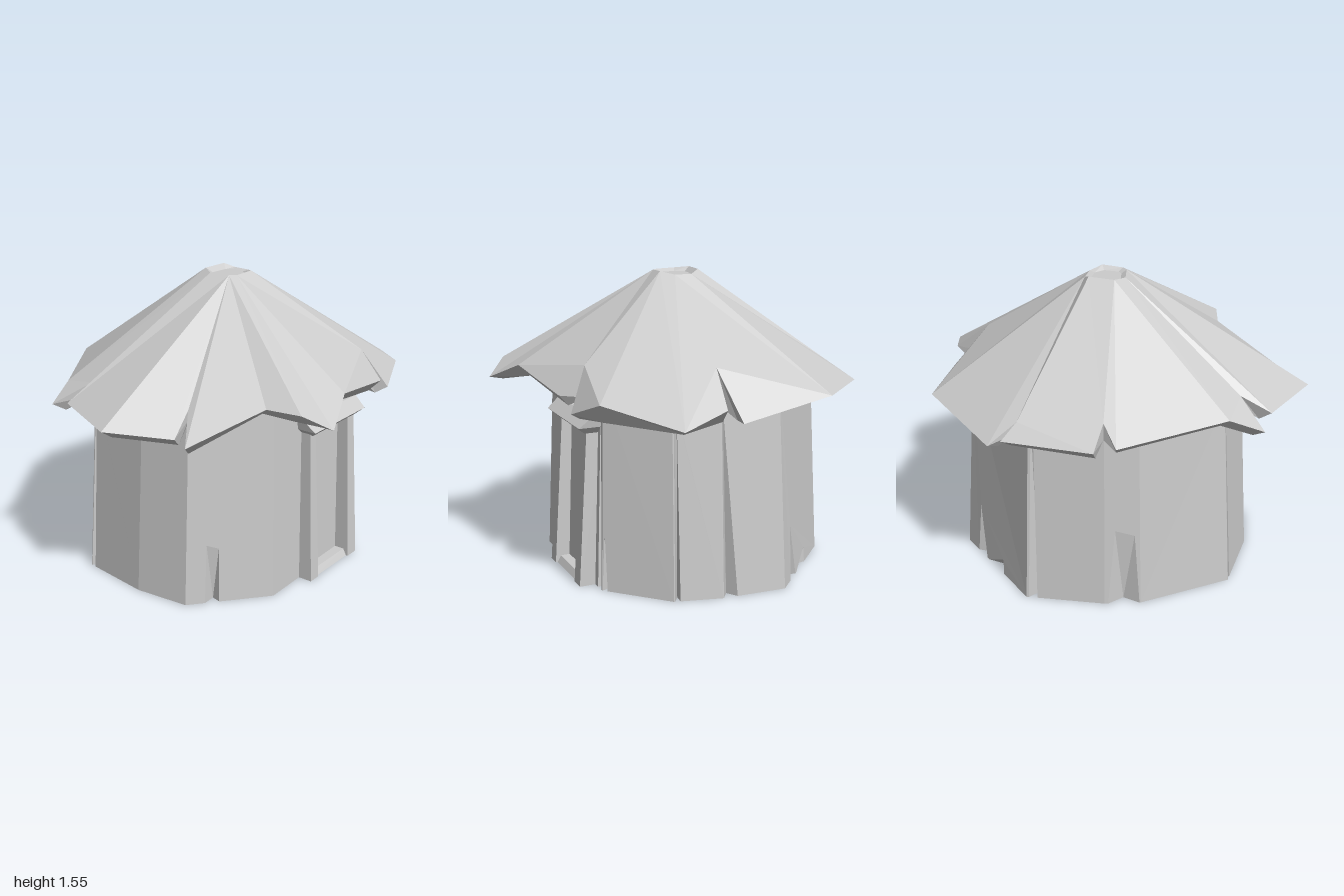
import * as THREE from 'three';

const grey = new THREE.MeshStandardMaterial({ color: 0xcccccc, flatShading: true, side: THREE.DoubleSide });

// Mesh from a list of triangles, each made of three [x, y, z] points
function facetMesh(name, tris) {
  const g = new THREE.BufferGeometry();
  g.setAttribute('position', new THREE.Float32BufferAttribute(tris.flat(2), 3));
  g.computeVertexNormals();
  const m = new THREE.Mesh(g, grey);
  m.name = name;
  return m;
}

const lerp = (a, b, t) => a.map((v, i) => v + (b[i] - v) * t);

// Wall corners [x, z] at the ground, counter-clockwise from above
const corners = [
  [-0.34, 0.585], [-0.1, 0.58], [0.43, 0.57], [0.71, 0.3], [0.77, 0.06], [0.79, -0.28],
  [0.34, -0.73], [-0.07, -0.71], [-0.25, -0.665], [-0.67, -0.38], [-0.72, 0], [-0.69, 0.29],
];
// Cracks per wall panel: foot start, top start, top end, foot end (0..1 along panel), height
const cracks = {
  1: [[0.9, 0.95, 0.96, 0.98, 0.97]],
  2: [[0.01, 0.03, 0.04, 0.08, 0.27]],
  3: [[0.02, 0.03, 0.09, 0.13, 0.97]],
  4: [[0.01, 0.03, 0.05, 0.23, 0.97]],
  5: [[0.18, 0.2, 0.21, 0.33, 0.28], [0.36, 0.6, 0.61, 0.62, 0.08]],
  6: [[0.03, 0.04, 0.07, 0.14, 0.97]],
  7: [[0.1, 0.3, 0.85, 0.97, 0.41]],
  9: [[0.01, 0.02, 0.04, 0.08, 0.97]],
  11: [[0.22, 0.23, 0.37, 0.38, 0.3]],
};
const WALL_TOP = 1.05;

function buildWalls() {
  const tris = [];
  const foot = ([x, z]) => [x, 0, z];
  const head = ([x, z]) => [x * 0.907, WALL_TOP, z * 0.938];
  corners.forEach((a, i) => {
    const b = corners[(i + 1) % corners.length];
    const at = (t, h) => lerp(lerp(foot(a), foot(b), t), lerp(head(a), head(b), t), h);
    const outline = [[0, 0]];
    const floor = [foot(a)];
    for (const [t0, ta, tb, t1, h] of cracks[i] || []) {
      outline.push([t0, 0], [ta, h], [tb, h * 0.93], [t1, 0]);
      // recessed faces inside the crack
      const [x, y, z] = at((t0 + t1) / 2, 0);
      const q = [x * 0.93, y, z * 0.93];
      const pa = at(ta, h), pb = at(tb, h * 0.93);
      tris.push([at(t0, 0), q, pa], [pa, q, pb], [pb, q, at(t1, 0)]);
      floor.push(at(t0, 0), q, at(t1, 0));
    }
    outline.push([1, 0], [1, 1], [0, 1]);
    floor.push(foot(b));
    const pts = outline.map(p => new THREE.Vector2(...p));
    for (const f of THREE.ShapeUtils.triangulateShape(pts, [])) tris.push(f.map(k => at(...outline[k])));
    for (let k = 1; k < floor.length; k++) tris.push([floor[k], floor[k - 1], [0.03, 0, -0.02]]);
  });
  return facetMesh('walls', tris);
}

// Crown ring at the peak [x, y, z]
const ring = [
  [-0.01, 1.54, 0.09], [0.1, 1.545, 0.1], [0.155, 1.53, 0.04], [0.16, 1.53, -0.05], [0.13, 1.55, -0.1],
  [-0.005, 1.548, -0.115], [-0.05, 1.54, -0.05], [-0.035, 1.54, 0.06],
];
// Eaves, counter-clockwise from above: [x, y, z, crown point, eave drop].
// Crown point -1 is a lip beside a notch; drop -1 is the notch itself.
const eaves = [
  [-0.32, 0.98, 0.9, 0, 0.01], [-0.09, 1.08, 0.81, 0, 0.06], [0.36, 1.01, 0.75, -1, 0.06], [0.37, 1.15, 0.62, 1, -1],
  [0.47, 0.94, 0.73, -1, 0.035], [0.67, 1.02, 0.66, 1, 0.1], [1, 0.94, 0.38, 2, 0.03], [0.93, 1, 0.13, -1, 0.07],
  [0.73, 1.16, 0.09, 2, -1], [0.92, 0.925, 0.04, -1, 0], [0.87, 1, -0.47, 3, 0], [0.46, 0.96, -0.87, 3, 0.03],
  [0.34, 1.05, -0.77, 4, -1], [0.4, 0.98, -0.85, -1, 0.05], [-0.06, 0.99, -0.9, -1, 0.06], [-0.08, 1.08, -0.76, 5, -1],
  [-0.16, 1, -0.86, 5, 0.05], [-0.65, 1.02, -0.51, 6, 0.05], [-0.82, 0.95, -0.46, -1, 0.04], [-0.68, 1.06, -0.31, 6, -1],
  [-0.84, 0.99, -0.33, 7, 0.05], [-1, 0.98, 0.05, 7, 0.05], [-0.79, 0.94, 0.32, 7, 0.05], [-0.65, 1.04, 0.29, 7, -1],
  [-0.81, 0.92, 0.4, 7, 0.05], [-0.46, 1.06, 0.61, 7, 0.04], [-0.43, 1.06, 0.79, 0, 0.05],
];

function buildRoof() {
  const tris = [];
  const top = e => e.slice(0, 3);
  const under = ([x, y, z, , drop]) => (drop < 0 ? [x, 0.99, z] : [x * 0.925, y - drop, z * 0.925]);
  // panels from the crown to the eaves
  const ribs = eaves.filter(e => e[3] >= 0);
  ribs.forEach((e, i) => {
    const n = ribs[(i + 1) % ribs.length];
    tris.push([top(e), top(n), ring[e[3]]]);
    if (e[3] !== n[3]) tris.push([top(n), ring[n[3]], ring[e[3]]]);
  });
  let rib = eaves[0];
  eaves.forEach((e, i) => {
    const n = eaves[(i + 1) % eaves.length];
    // lips beside the notches
    if (e[3] < 0) tris.push([top(rib), top(e), top(n)]);
    else rib = e;
    // eave thickness and underside
    tris.push([top(e), under(e), under(n)], [top(e), under(n), top(n)]);
    tris.push([under(n), under(e), [0.03, 1.2, 0]]);
  });
  // sunken crown
  const hub = [0.05, 1.525, 0];
  const inner = p => { const q = lerp(hub, p, 0.72); q[1] = 1.525; return q; };
  ring.forEach((a, i) => {
    const b = ring[(i + 1) % ring.length];
    tris.push([a, b, inner(b)], [a, inner(b), inner(a)], [inner(a), inner(b), hub]);
  });
  return facetMesh('roof', tris);
}

// Box with separate bottom and top rectangles [x0, x1, z0, z1]
function taperedBox(name, y0, y1, lo, hi) {
  const g = new THREE.BoxGeometry(1, 1, 1);
  const p = g.attributes.position;
  for (let i = 0; i < p.count; i++) {
    const up = p.getY(i) > 0;
    const r = up ? hi : lo;
    p.setXYZ(i, p.getX(i) > 0 ? r[1] : r[0], up ? y1 : y0, p.getZ(i) > 0 ? r[3] : r[2]);
  }
  g.computeVertexNormals();
  const m = new THREE.Mesh(g, grey);
  m.name = name;
  return m;
}

function buildDoorway() {
  const g = new THREE.Group();
  g.name = 'doorway';
  g.add(
    taperedBox('rightPost', 0, 0.82, [-0.1, -0.03, 0.5, 0.655], [-0.07, -0.02, 0.5, 0.605]),
    taperedBox('leftPost', 0, 0.82, [0.26, 0.34, 0.5, 0.655], [0.28, 0.34, 0.5, 0.605]),
    taperedBox('threshold', 0, 0.035, [-0.04, 0.27, 0.5, 0.645], [-0.04, 0.27, 0.5, 0.625]),
    taperedBox('lintel', 0.8, 0.835, [-0.06, 0.34, 0.5, 0.615], [-0.1, 0.37, 0.5, 0.655]),
    taperedBox('lintelCap', 0.835, 0.89, [-0.1, 0.37, 0.5, 0.655], [-0.11, 0.38, 0.5, 0.59]),
  );
  return g;
}

export function createModel() {
  const hut = new THREE.Group();
  hut.name = 'hut';
  hut.add(buildWalls(), buildRoof(), buildDoorway());
  return hut;
}
